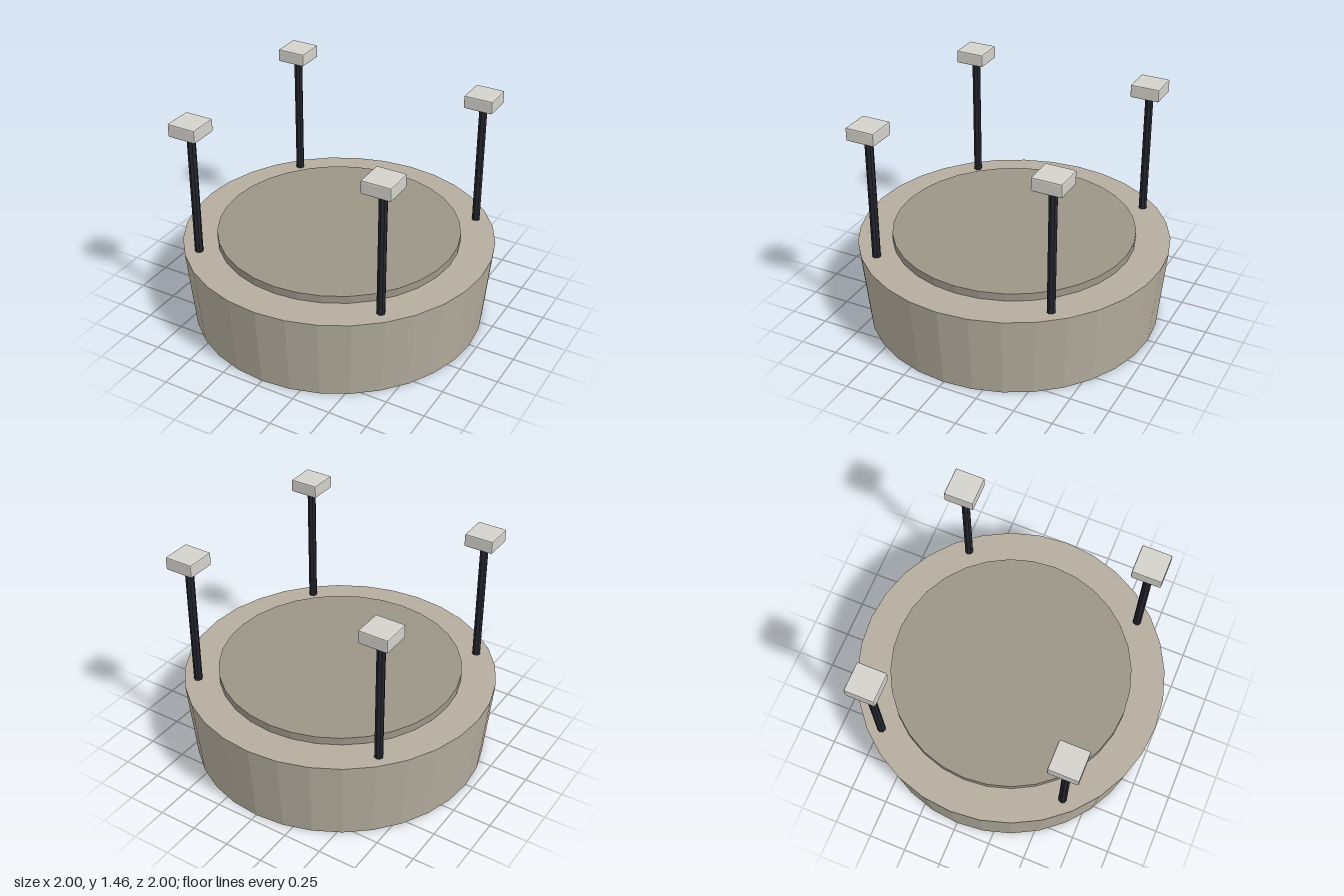
import * as THREE from 'three';
import { RoundedBoxGeometry } from 'three/addons/geometries/RoundedBoxGeometry.js';

const BASE_H = 0.545, LID_TOP = 0.595, CAP_BOTTOM = 1.37, CAP_TOP = 1.455;

function material(color) {
  return new THREE.MeshStandardMaterial({ color, flatShading: true });
}

function addPart(parent, name, geometry, mat, y) {
  const mesh = new THREE.Mesh(geometry, mat);
  mesh.name = name;
  mesh.position.y = y;
  parent.add(mesh);
}

export function createModel() {
  const model = new THREE.Group();
  model.name = 'roundBaseWithPosts';

  // Drum that widens slightly towards the top
  addPart(model, 'base', new THREE.CylinderGeometry(1, 0.95, BASE_H, 32), material(0xb5ae9f), BASE_H / 2);

  // Raised disc in the middle of the drum
  const lidH = 0.1;
  addPart(model, 'lid', new THREE.CylinderGeometry(0.78, 0.78, lidH, 32), material(0x9c9588), LID_TOP - lidH / 2);

  // Four slightly uneven posts running through the rim, each with a square cap
  const postH = CAP_BOTTOM + 0.02, capH = CAP_TOP - CAP_BOTTOM;
  const postGeometry = new THREE.CylinderGeometry(0.027, 0.027, postH, 8);
  const capGeometry = new RoundedBoxGeometry(0.19, capH, 0.19, 1, 0.008);
  const postMaterial = material(0x23262e);
  const capMaterial = material(0xd4d2cc);
  const posts = {
    frontLeft: [0.642, 0.637],
    frontRight: [-0.66, 0.62],
    backLeft: [0.695, -0.59],
    backRight: [-0.67, -0.62],
  };
  for (const [corner, [x, z]] of Object.entries(posts)) {
    const group = new THREE.Group();
    group.name = corner + 'Post';
    group.position.set(x, 0, z);
    addPart(group, 'pole', postGeometry, postMaterial, postH / 2);
    addPart(group, 'cap', capGeometry, capMaterial, CAP_BOTTOM + capH / 2);
    model.add(group);
  }
  return model;
}
